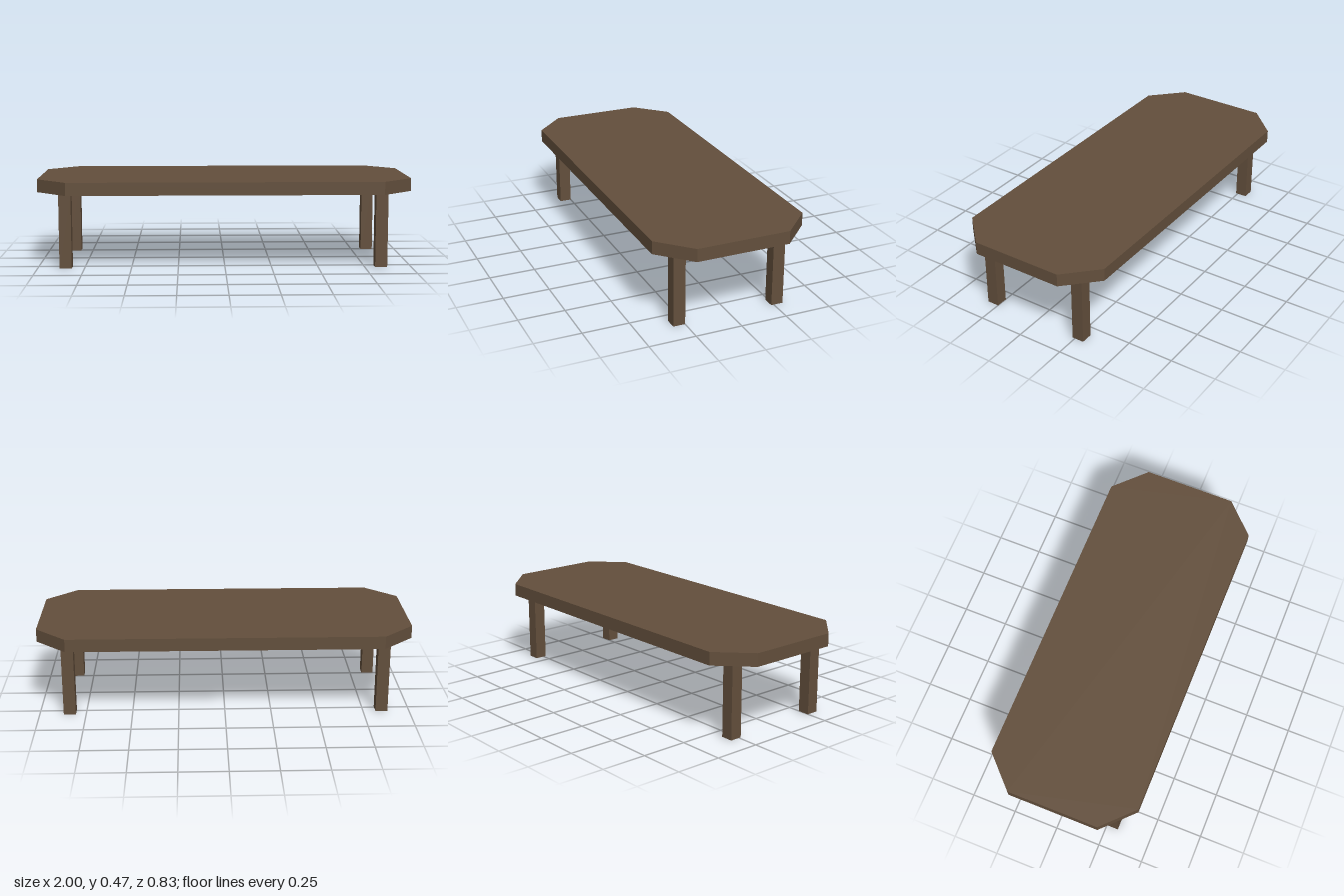
import * as THREE from 'three';

export function createModel() {
  const group = new THREE.Group();
  const wood = new THREE.MeshStandardMaterial({ color: 0x634f3c });
  wood.name = 'darkWood';

  // Table top: rectangle with cut corners
  const outline = new THREE.Shape(
    [[-0.835, -0.413], [0.835, -0.413], [1, -0.25], [1, 0.25],
      [0.835, 0.413], [-0.835, 0.413], [-1, 0.25], [-1, -0.25]]
      .map(([x, y]) => new THREE.Vector2(x, y)));
  const topGeometry = new THREE.ExtrudeGeometry(outline, { depth: 0.069, bevelEnabled: false });
  topGeometry.rotateX(-Math.PI / 2);
  const top = new THREE.Mesh(topGeometry, wood);
  top.name = 'tableTop';
  top.position.y = 0.403;
  group.add(top);

  // Four square legs, set slightly off centre
  const legHeight = 0.403;
  const legGeometry = new THREE.BoxGeometry(0.065, legHeight, 0.065);
  const legs = [
    ['frontLeftLeg', 0.838, 0.282],
    ['frontRightLeg', -0.85, 0.282],
    ['backLeftLeg', 0.838, -0.268],
    ['backRightLeg', -0.85, -0.271],
  ];
  for (const [name, x, z] of legs) {
    const leg = new THREE.Mesh(legGeometry, wood);
    leg.name = name;
    leg.position.set(x, legHeight / 2, z);
    group.add(leg);
  }
  return group;
}
